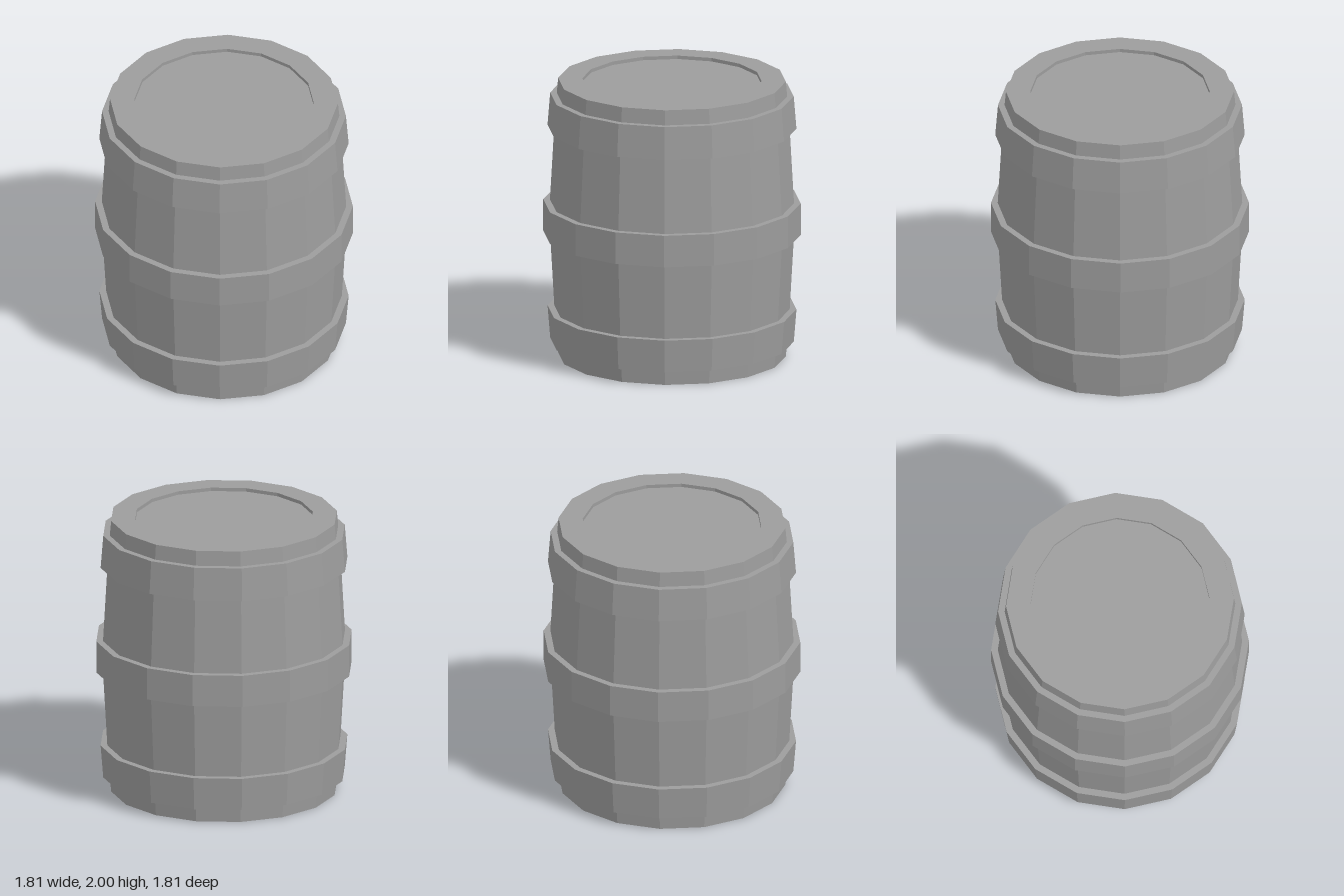
import * as THREE from 'three';

const SIDES = 16;
const material = new THREE.MeshStandardMaterial({ color: 0x9c9c9c, flatShading: true });

// Faceted solid of revolution from [radius, height] pairs, listed bottom to top
function turned(name, profile) {
  const points = profile.map(([r, y]) => new THREE.Vector2(r, y));
  const mesh = new THREE.Mesh(new THREE.LatheGeometry(points, SIDES), material);
  mesh.name = name;
  return mesh;
}

// Metal band: underside, outer face and top edge; its inner side sits in the staves
function hoop(name, inner, [r0, y0], [r1, y1]) {
  return turned(name, [[inner, y0], [r0, y0], [r1, y1], [inner, y1]]);
}

export function createModel() {
  const barrel = new THREE.Group();
  barrel.name = 'barrel';

  // Bulging staves with a flat rim at each end
  barrel.add(turned('staves', [
    [0.63, 0], [0.8, 0], [0.81, 0.11], [0.827, 0.34], [0.858, 0.89],
    [0.858, 1.11], [0.827, 1.66], [0.81, 1.89], [0.8, 2], [0.63, 2],
  ]));

  // Heads recessed slightly below the rims
  const recess = 0.025;
  barrel.add(turned('bottomHead', [[0, recess], [0.63, recess], [0.63, 0]]));
  barrel.add(turned('topHead', [[0.63, 2], [0.63, 2 - recess], [0, 2 - recess]]));

  // Three hoops, the outer two tapering toward the ends
  barrel.add(hoop('lowerHoop', 0.805, [0.856, 0.107], [0.875, 0.343]));
  barrel.add(hoop('middleHoop', 0.85, [0.905, 0.885], [0.905, 1.115]));
  barrel.add(hoop('upperHoop', 0.805, [0.875, 1.657], [0.856, 1.893]));

  return barrel;
}
